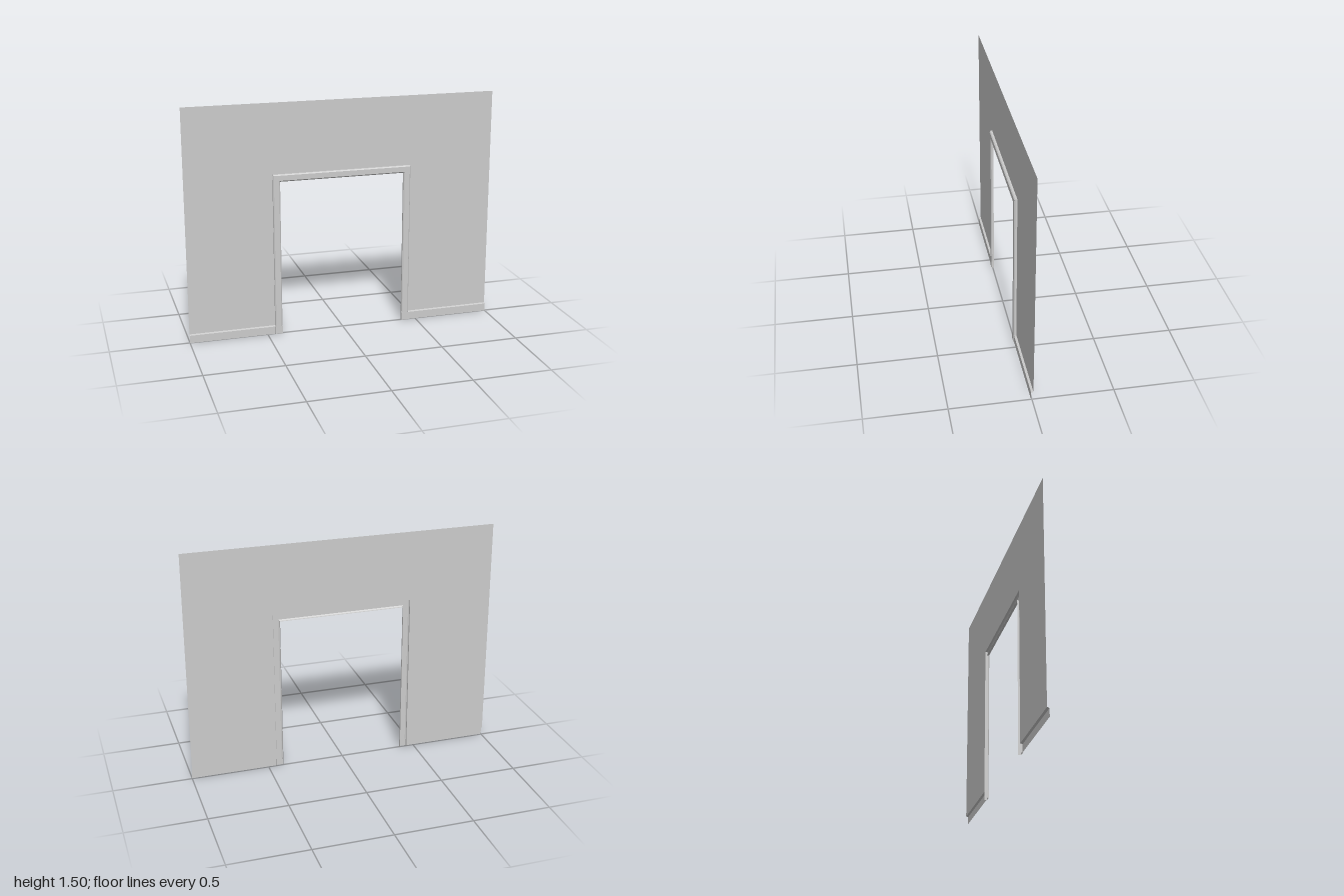
import * as THREE from 'three';

const material = new THREE.MeshStandardMaterial({ color: 0xcccccc, side: THREE.DoubleSide, flatShading: true });
const BACK = -0.009, FRONT = 0.009, BOARD = 0.005; // depths of wall, trim and skirting
const HALF = 0.403, TOP = 1.005, TRIM = 0.046;     // doorway opening and trim width
const BASE = 0.05, LIP = 0.054;                    // skirting height and its sloped lip

// Open sheet through rows of points, faceted
function sheet(rows) {
  const n = rows[0].length, index = [];
  for (let i = 0; i < rows.length - 1; i++) {
    for (let j = 0; j < n - 1; j++) {
      const a = i * n + j, b = a + n;
      index.push(a, b, a + 1, b, b + 1, a + 1);
    }
  }
  const indexed = new THREE.BufferGeometry();
  indexed.setAttribute('position', new THREE.Float32BufferAttribute(rows.flat(2), 3));
  indexed.setIndex(index);
  const geometry = indexed.toNonIndexed();
  geometry.computeVertexNormals();
  return geometry;
}

function add(group, name, geometry) {
  const mesh = new THREE.Mesh(geometry, material);
  mesh.name = name;
  group.add(mesh);
}

export function createModel() {
  const group = new THREE.Group();
  group.name = 'doorwayWall';

  // Flat wall panel around the doorway
  const x = HALF + TRIM, y = TOP + TRIM;
  const outline = [[-1, LIP], [-x, LIP], [-x, y], [x, y], [x, LIP], [1, LIP], [1, 1.5], [-1, 1.5]];
  const wall = new THREE.ShapeGeometry(new THREE.Shape(outline.map(p => new THREE.Vector2(...p))));
  wall.translate(0, 0, BACK);
  add(group, 'wall', wall);

  // Door trim: bevelled hollow moulding, mitred at the top, on square plinths
  const moulding = [[0, BACK], [0, 0.003], [0.007, FRONT], [0.040, FRONT], [TRIM, 0.003], [TRIM, BACK]];
  const plinth = [[0, BACK], [0, FRONT], [0.007, FRONT], [0.040, FRONT], [TRIM, FRONT], [TRIM, BACK]];
  const section = (profile, side, height) =>
    profile.map(([d, z]) => [side * (HALF + d), height ?? TOP + d, z]);
  const leg = side => [
    section(plinth, side, 0), section(plinth, side, BASE),
    section(moulding, side, BASE), section(moulding, side),
  ];
  add(group, 'doorTrim', sheet([...leg(-1), ...leg(1).reverse()]));

  // Skirting boards with a sloped lip back to the wall
  const board = [[0, BOARD], [BASE, BOARD], [LIP, BACK]];
  for (const [name, from, to] of [['rightSkirting', -1, -x], ['leftSkirting', x, 1]]) {
    add(group, name, sheet([from, to].map(px => board.map(([h, z]) => [px, h, z]))));
  }
  return group;
}
